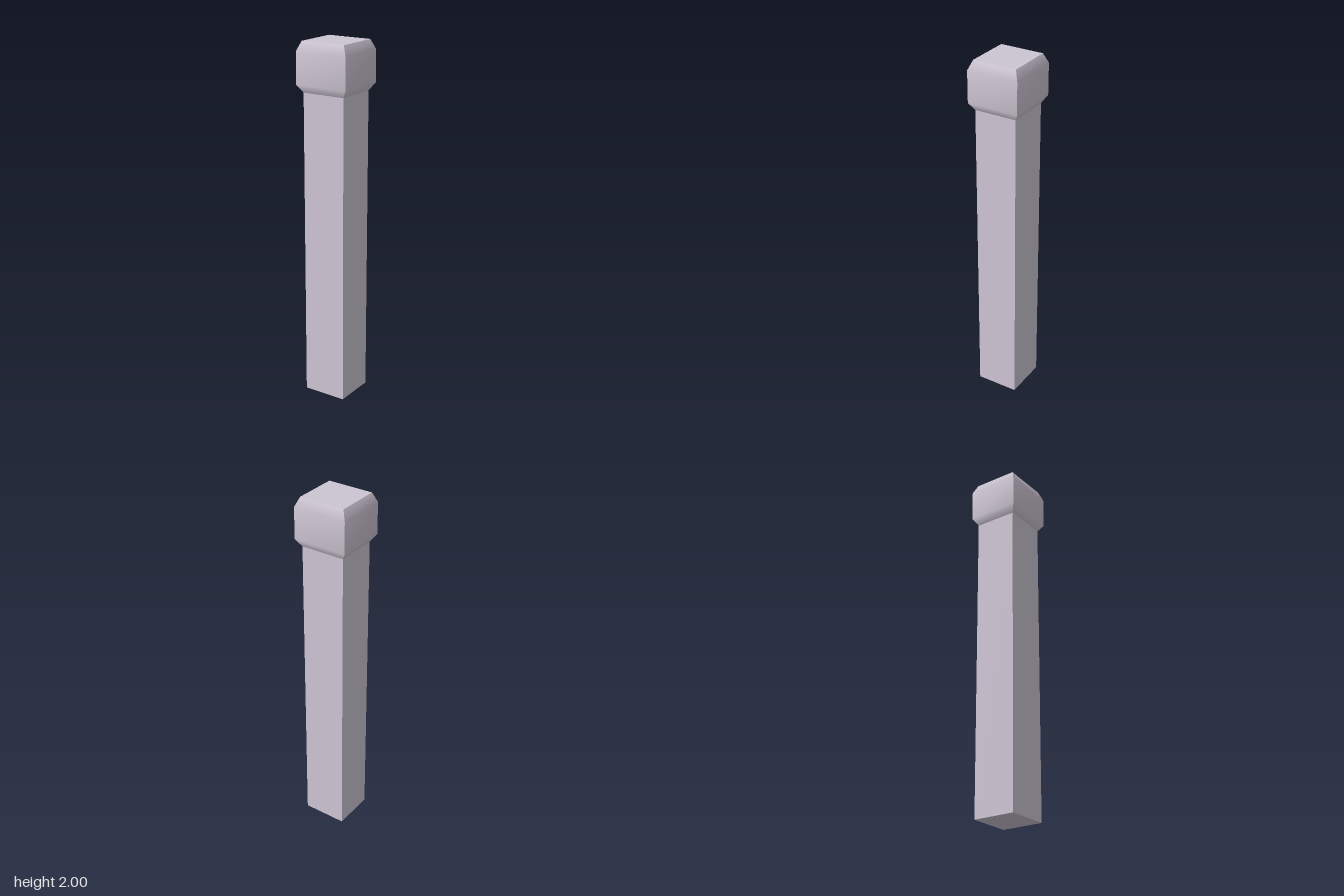
import * as THREE from 'three';

export function createModel() {
  const group = new THREE.Group();
  group.name = 'post';
  const material = new THREE.MeshStandardMaterial({ color: 0xccc4d2 });

  // Square shaft
  const shaftTop = 1.73;
  const shaft = new THREE.Mesh(new THREE.BoxGeometry(0.25, shaftTop, 0.24), material);
  shaft.name = 'shaft';
  shaft.position.y = shaftTop / 2;
  group.add(shaft);

  // Cap: a box of three tiers whose rows follow a bevelled profile [y, half x, half z].
  // Each side is smooth from bottom to top, with sharp corners between sides.
  const profile = [
    [shaftTop, 0.125, 0.12],
    [1.772, 0.153, 0.146],
    [1.947, 0.153, 0.146],
    [2, 0.13, 0.124],
  ];
  const capGeometry = new THREE.BoxGeometry(2, 3, 2, 1, 3, 1);
  const p = capGeometry.attributes.position;
  for (let i = 0; i < p.count; i++) {
    const [y, halfX, halfZ] = profile[Math.round(p.getY(i) + 1.5)];
    p.setXYZ(i, p.getX(i) * halfX, y, p.getZ(i) * halfZ);
  }
  capGeometry.computeVertexNormals();
  const cap = new THREE.Mesh(capGeometry, material);
  cap.name = 'cap';
  group.add(cap);

  return group;
}
